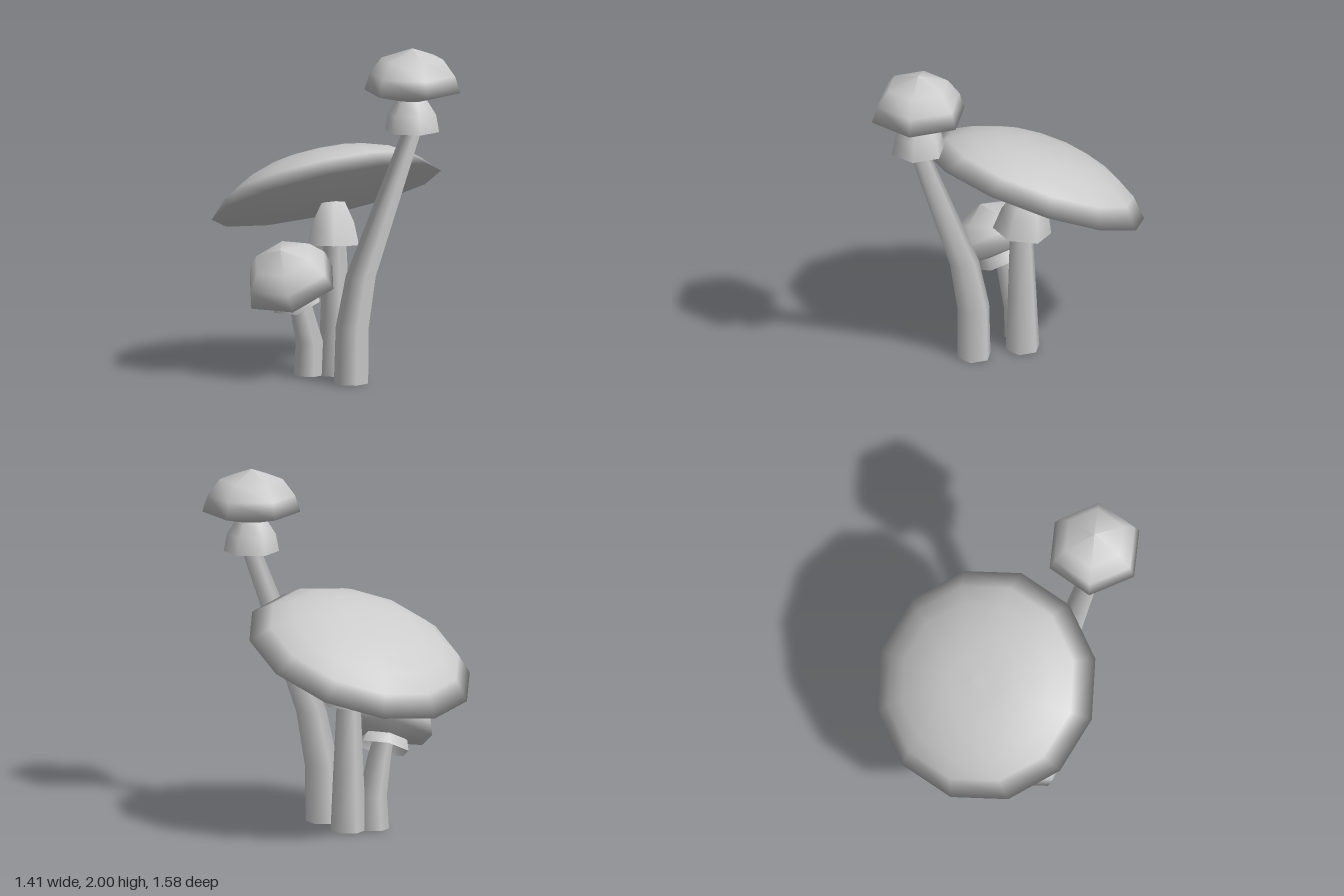
import * as THREE from 'three';

const material = new THREE.MeshStandardMaterial({ color: 0xcccccc, side: THREE.DoubleSide });
const UP = new THREE.Vector3(0, 1, 0);

// Turned part from [radius, height] pairs (bottom to top), leaned along an axis
function makeTurned(name, { profile, sides = 6, spin, position, axis }) {
  const points = profile.map(([r, y]) => new THREE.Vector2(r, y));
  const mesh = new THREE.Mesh(new THREE.LatheGeometry(points, sides, spin), material);
  mesh.name = name;
  mesh.position.set(...position);
  mesh.quaternion.setFromUnitVectors(UP, new THREE.Vector3(...axis).normalize());
  return mesh;
}

// Bent, tapering stem through [x, y, z, radius] stations
function makeStem(stations) {
  const rows = stations.length - 1;
  const geometry = new THREE.CylinderGeometry(1, 1, 1, 6, rows, true, 0.3);
  const p = geometry.attributes.position;
  for (let i = 0; i < p.count; i++) {
    const [x, y, z, r] = stations[Math.round((p.getY(i) + 0.5) * rows)];
    p.setXYZ(i, x + p.getX(i) * r, y, z + p.getZ(i) * r);
  }
  const stem = new THREE.Mesh(geometry, material);
  stem.name = 'stem';
  return stem;
}

// Cap profiles: shallow cone underneath, rim, then dome
const broadCap = [[0, -0.05], [0.1, -0.05], [0.67, 0], [0.57, 0.103], [0.46, 0.168], [0.3, 0.226], [0.15, 0.245], [0, 0.25]];
const smallCap = [[0, -0.05], [0.08, -0.05], [0.28, 0], [0.25, 0.095], [0.18, 0.19], [0, 0.25]];

const mushrooms = [
  {
    name: 'broadMushroom',
    stem: [[0, 0, -0.092, 0.102], [0, 0.35, -0.09, 0.086], [-0.003, 0.75, -0.085, 0.068], [-0.03, 0.98, -0.12, 0.06]],
    collar: {
      profile: [[0.168, 0], [0.135, 0.13], [0.075, 0.245], [0, 0.25]],
      spin: 0, position: [-0.01, 0.75, -0.09], axis: [0, 1, -0.13],
    },
    cap: { profile: broadCap, sides: 12, spin: 0.04, position: [-0.05, 1.025, -0.16], axis: [-0.23, 1, -0.37] },
  },
  {
    name: 'tallMushroom',
    stem: [[0.087, 0, 0.188, 0.1], [0.093, 0.32, 0.192, 0.096], [0.142, 0.63, 0.245, 0.087], [0.43, 1.52, 0.52, 0.055], [0.432, 1.7, 0.522, 0.05]],
    collar: {
      profile: [[0.158, 0], [0.14, 0.1], [0.085, 0.185]],
      spin: 0.3, position: [0.432, 1.52, 0.522], axis: [0, 1, 0],
    },
    cap: { profile: smallCap, spin: 0.3, position: [0.433, 1.75, 0.52], axis: [0, 1, 0] },
  },
  {
    name: 'smallMushroom',
    stem: [[-0.15, 0, -0.08, 0.088], [-0.147, 0.19, -0.068, 0.081], [-0.2, 0.42, -0.015, 0.066], [-0.235, 0.52, 0.02, 0.058]],
    collar: {
      profile: [[0.155, 0], [0.135, 0.06], [0.09, 0.1]],
      spin: -0.04, position: [-0.223, 0.447, 0], axis: [-0.3, 1, 0.44],
    },
    cap: { profile: smallCap, spin: -0.04, position: [-0.25, 0.54, 0.04], axis: [-0.3, 1, 0.44] },
  },
];

export function createModel() {
  const model = new THREE.Group();
  model.name = 'mushroomCluster';
  for (const { name, stem, collar, cap } of mushrooms) {
    const mushroom = new THREE.Group();
    mushroom.name = name;
    mushroom.add(makeStem(stem), makeTurned('collar', collar), makeTurned('cap', cap));
    model.add(mushroom);
  }
  return model;
}
